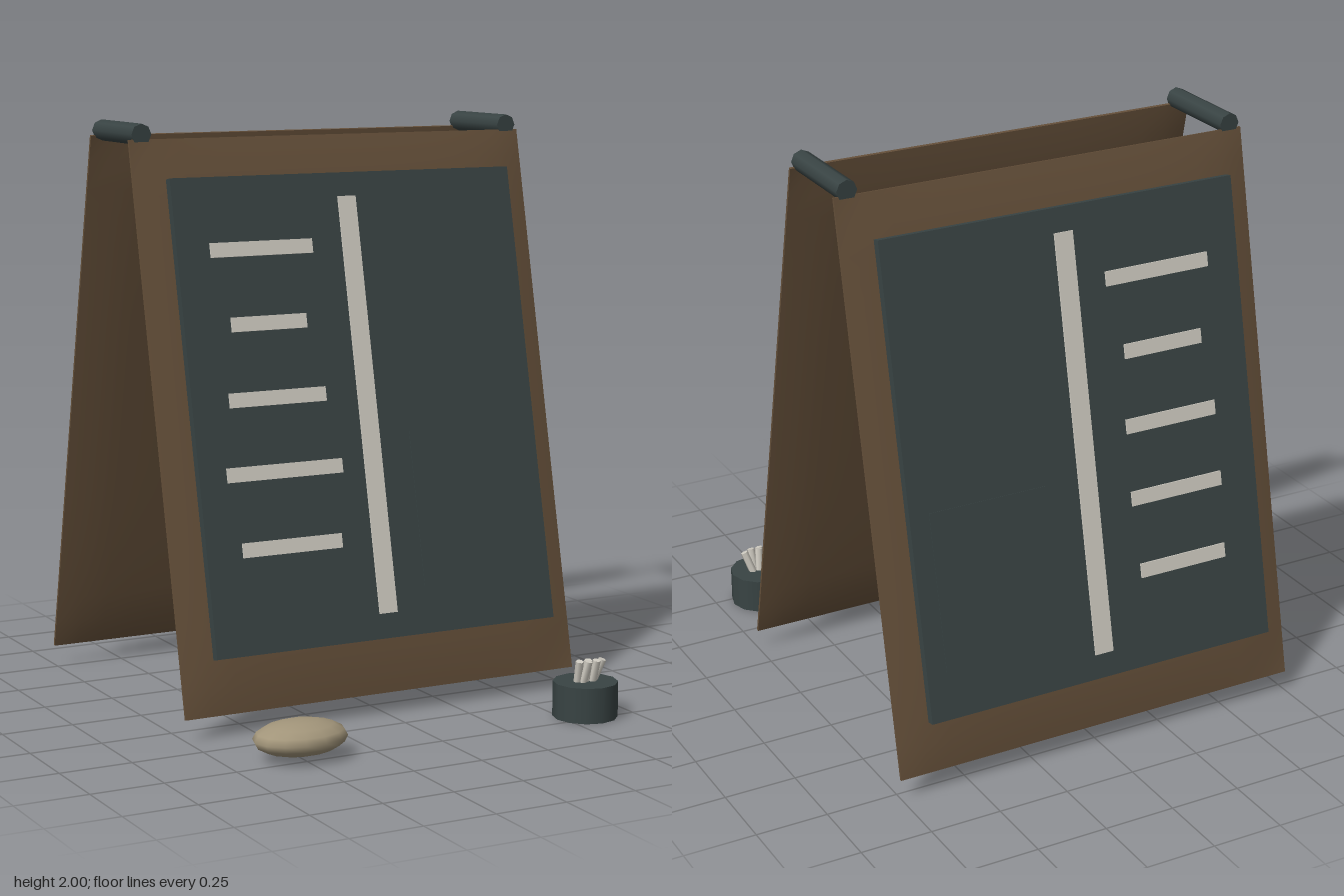
import * as THREE from 'three';

const mat = (name, color) => {
  const m = new THREE.MeshStandardMaterial({ color });
  m.name = name;
  return m;
};

export function createModel() {
  const wood = mat('brown wood', 0x644f39);
  const slate = mat('dark slate', 0x394444);
  const chalk = mat('chalk white', 0xd0ccc2);
  const stone = mat('tan stone', 0xa2957a);

  const model = new THREE.Group();
  model.name = 'sandwichBoard';
  const add = (parent, name, geo, material, x, y, z) => {
    const mesh = new THREE.Mesh(geo, material);
    mesh.name = name;
    mesh.position.set(x, y, z);
    parent.add(mesh);
    return mesh;
  };

  const W = 1.5, H = 1.92, TILT = 0.2166, MID_Z = -0.21;

  // Wooden panel: thin at the rim, swelling towards a flat middle
  function panelGeometry() {
    const geo = new THREE.BoxGeometry(W, H, 1, 16, 20, 1);
    const p = geo.attributes.position;
    for (let i = 0; i < p.count; i++) {
      const u = Math.abs(p.getX(i)) / (W / 2), v = Math.abs(p.getY(i)) / (H / 2);
      const swell = Math.sqrt(Math.max(0, (1 - u ** 4) * (1 - v ** 4)));
      p.setZ(i, Math.sign(p.getZ(i)) * (0.005 + 0.027 * swell));
    }
    geo.computeVertexNormals();
    return geo;
  }

  // One leaning side with its slate and chalk marks; s = 1 front, -1 back
  function side(name, s, rows) {
    const g = new THREE.Group();
    g.name = name;
    g.position.set(0, 1.01, MID_Z + s * 0.367);
    g.rotation.x = -s * TILT;
    model.add(g);
    add(g, 'woodPanel', panelGeometry(), wood, 0, 0, 0);
    add(g, 'slateBoard', new THREE.BoxGeometry(1.3, 1.59, 0.03), slate, 0, 0.022, s * 0.063);

    // Flat mark on the slate, given by height above the ground
    const mark = (label, x0, x1, y0, y1, material, t) => {
      const k = Math.cos(TILT);
      add(g, label, new THREE.BoxGeometry(x1 - x0, (y1 - y0) / k, t), material,
        (x0 + x1) / 2, ((y0 + y1) / 2 - 1.027) / k, s * (0.078 + t / 2));
    };
    mark('chalkDivider', -0.035, 0.033, 0.355, 1.745, chalk, 0.006);
    rows.forEach(([x0, x1, y]) => mark('chalkLine', x0, x1, y - 0.024, y + 0.024, chalk, 0.006));
    mark('slatePatch', 0.15, 0.58, 0.43, 0.95, slate, 0.002);
  }
  side('frontSide', 1, [
    [-0.53, -0.15, 1.585], [-0.48, -0.2, 1.34], [-0.515, -0.155, 1.095],
    [-0.55, -0.12, 0.855], [-0.52, -0.15, 0.61],
  ]);
  side('backSide', -1, [
    [-0.53, -0.14, 1.57], [-0.48, -0.185, 1.325], [-0.51, -0.165, 1.08],
    [-0.51, -0.16, 0.84], [-0.5, -0.17, 0.595],
  ]);

  // Hinge bars across the top
  for (const x of [-0.705, 0.705]) {
    const geo = new THREE.CylinderGeometry(0.036, 0.036, 0.335, 8).rotateX(Math.PI / 2);
    add(model, 'hingeBar', geo, slate, x, 1.965, MID_Z);
  }

  // Pebble
  const pebble = add(model, 'pebble', new THREE.SphereGeometry(1, 14, 8), stone, -0.503, 0.072, 0.707);
  pebble.scale.set(0.163, 0.058, 0.118);

  // Chalk pot with leaning sticks
  add(model, 'chalkPot', new THREE.CylinderGeometry(0.111, 0.111, 0.122, 12), slate, 0.583, 0.062, 0.708);
  for (let i = 0; i < 5; i++) {
    const stick = add(model, 'chalkStick', new THREE.CylinderGeometry(0.014, 0.014, 0.11, 6), chalk,
      0.551 + i * 0.018, 0.145, 0.712 + (i % 2) * 0.012);
    stick.rotation.set(0.25, 0, [0.06, -0.12, 0.1, -0.05, -0.3][i]);
  }

  return model;
}
